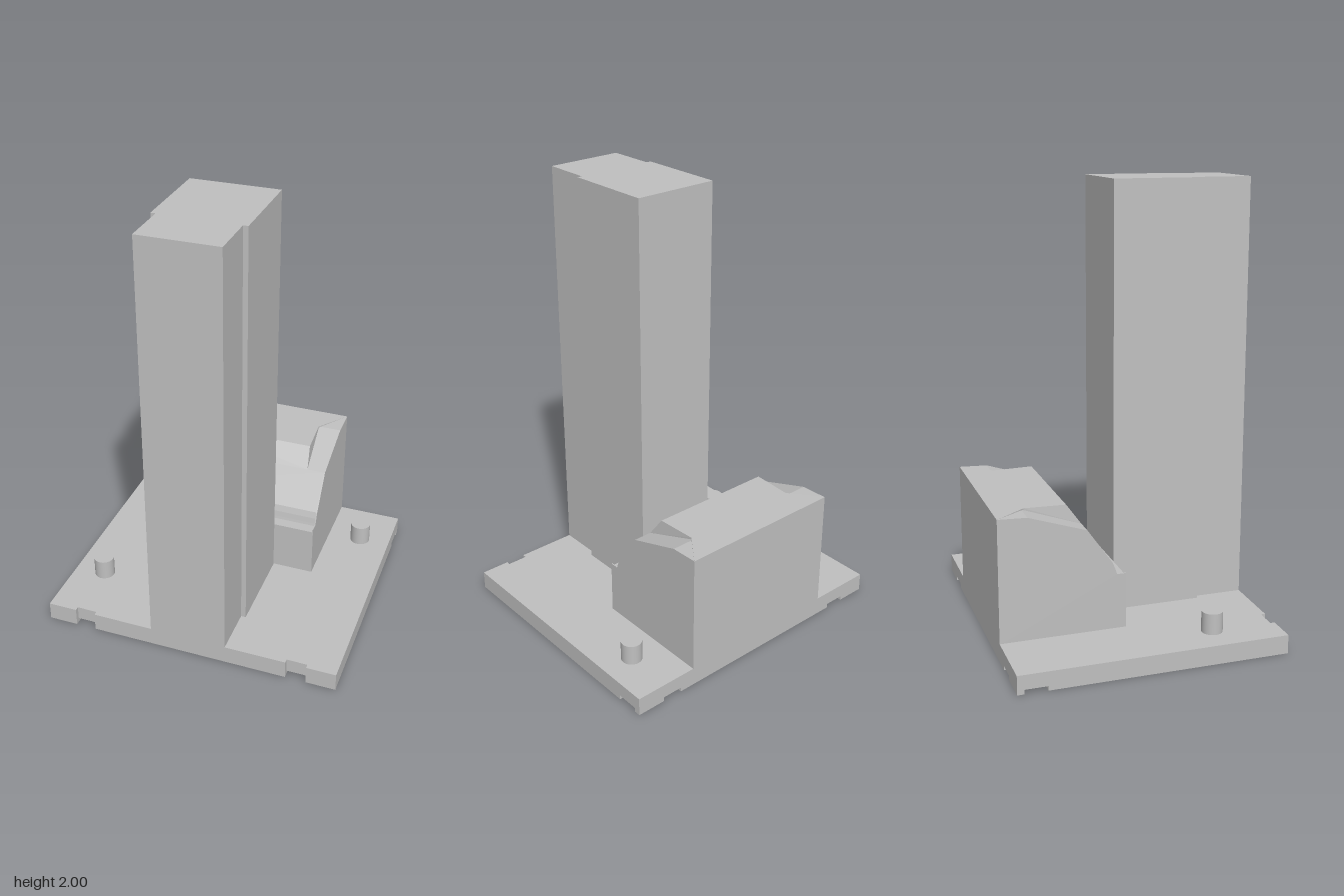
import * as THREE from 'three';
import { ConvexGeometry } from 'three/addons/geometries/ConvexGeometry.js';

export function createModel() {
  const model = new THREE.Group();
  const grey = new THREE.MeshStandardMaterial({ color: 0xc0c0c0 });
  grey.name = 'plainGrey';

  const add = (name, geometry) => {
    const mesh = new THREE.Mesh(geometry, grey);
    mesh.name = name;
    model.add(mesh);
    return mesh;
  };
  const box = (name, x0, x1, y0, y1, z0, z1) =>
    add(name, new THREE.BoxGeometry(x1 - x0, y1 - y0, z1 - z0))
      .position.set((x0 + x1) / 2, (y0 + y1) / 2, (z0 + z1) / 2);
  const extrude = (points, depth) => new THREE.ExtrudeGeometry(
    new THREE.Shape(points.map(([a, b]) => new THREE.Vector2(a, b))),
    { depth, bevelEnabled: false });

  // Base plate with two small notches through its front edge (plan drawn as x, -z)
  const plan = [
    [-0.69, -0.6], [-0.555, -0.6], [-0.555, -0.58], [-0.46, -0.58], [-0.46, -0.6],
    [0.46, -0.6], [0.46, -0.58], [0.555, -0.58], [0.555, -0.6], [0.69, -0.6],
    [0.69, 0.6], [-0.69, 0.6],
  ];
  const plate = extrude(plan, 0.065);
  plate.rotateX(-Math.PI / 2);
  plate.translate(0, 0.02, 0);
  add('basePlate', plate);

  // Pads under the plate, separated by shallow crossing grooves
  for (const [x0, x1] of [[-0.69, -0.555], [-0.46, 0.46], [0.555, 0.69]])
    for (const [z0, z1] of [[-0.6, -0.57], [-0.47, 0.6]])
      box('basePad', x0, x1, 0, 0.02, z0, z1);

  // Round locating pegs
  for (const [x, z] of [[0.545, -0.37], [-0.545, 0.305]])
    add('peg', new THREE.CylinderGeometry(0.047, 0.047, 0.1, 40)).position.set(x, 0.13, z);

  // Tall column, slightly narrower at the front
  box('columnRear', -0.2, 0.2, 0.08, 2, -0.03, 0.38);
  box('columnFront', -0.178, 0.178, 0.08, 2, 0.38, 0.6);

  // Sloped block: side profile (z, y) swept across x
  const sweep = (name, profile, width, x) => {
    const g = extrude(profile, width);
    g.translate(0, 0, -width / 2);
    g.rotateY(-Math.PI / 2);
    g.translate(x, 0, 0);
    add(name, g);
  };
  const upper = [[-0.21, 0.55], [-0.47, 0.635], [-0.6, 0.64], [-0.6, 0.08], [-0.035, 0.08]];
  sweep('slopedBlock', [
    [-0.035, 0.322], [-0.085, 0.322], [-0.088, 0.335], [-0.093, 0.36], [-0.103, 0.39], ...upper,
  ], 0.77, 0);
  for (const side of [-1, 1])
    sweep('blockCheek', [
      [-0.035, 0.335], [-0.077, 0.335], [-0.085, 0.36], [-0.097, 0.39], ...upper,
    ], 0.005, side * 0.3875);

  // Raised ridge between the two sunken corners, flaring out to the back edge
  const hull = (name, points) => add(name, new ConvexGeometry(
    points.flatMap(([x, y, z]) => [new THREE.Vector3(x, y, z), new THREE.Vector3(-x, y, z)])));
  hull('ridgeFront', [
    [0.303, 0.55, -0.21], [0.293, 0.64, -0.275], [0.283, 0.64, -0.46], [0.283, 0.55, -0.46],
  ]);
  hull('ridgeBack', [
    [0.283, 0.64, -0.46], [0.283, 0.55, -0.46], [0.39, 0.64, -0.6], [0.39, 0.55, -0.6],
  ]);

  return model;
}
